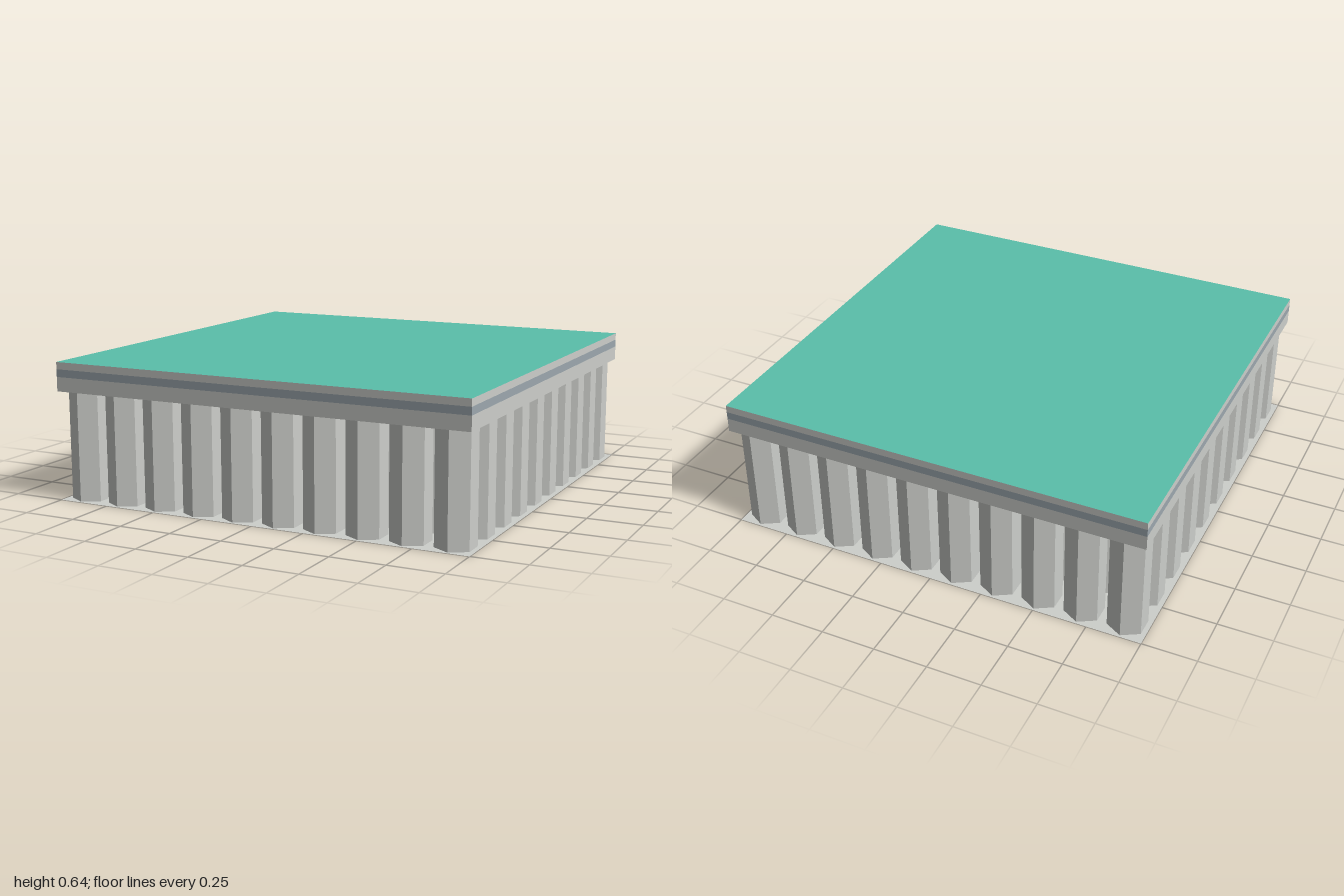
import * as THREE from 'three';

function material(name, color, extra = {}) {
  const m = new THREE.MeshStandardMaterial({ color, ...extra });
  m.name = name;
  return m;
}

export function createModel() {
  const group = new THREE.Group();
  group.name = 'pillaredPlatform';

  const concrete = material('concrete', 0xcdcfcb, { flatShading: true, side: THREE.DoubleSide });
  const slate = material('slate', 0x9da8af);
  const green = material('green', 0x5abfaa);

  const add = (name, geometry, mat, x, y, z) => {
    const mesh = new THREE.Mesh(geometry, mat);
    mesh.name = name;
    mesh.position.set(x, y, z);
    group.add(mesh);
    return mesh;
  };

  // Paper-thin ground sheet, seen from both sides
  add('baseSheet', new THREE.PlaneGeometry(2, 2).rotateX(-Math.PI / 2), concrete, 0, 0, 0);

  // Ten by ten grid of hexagonal pillars, corners pointing along z
  const count = 10, spacing = 0.2, pillarHeight = 0.504;
  const pillar = new THREE.CylinderGeometry(0.09, 0.09, pillarHeight, 6, 1, true);
  for (let i = 0; i < count; i++) {
    for (let j = 0; j < count; j++) {
      const x = (i - (count - 1) / 2) * spacing;
      const z = (j - (count - 1) / 2) * spacing;
      add('pillar', pillar, concrete, x, pillarHeight / 2, z);
    }
  }

  // Deck in three flush layers, the uppermost with a green top face
  const layer = (name, bottom, top, mat) =>
    add(name, new THREE.BoxGeometry(2, top - bottom, 2), mat, 0, (bottom + top) / 2, 0);
  layer('deckSlab', 0.504, 0.57, concrete);
  layer('deckStripe', 0.57, 0.605, slate);
  layer('deckTop', 0.605, 0.638, [concrete, concrete, green, concrete, concrete, concrete]);

  return group;
}
